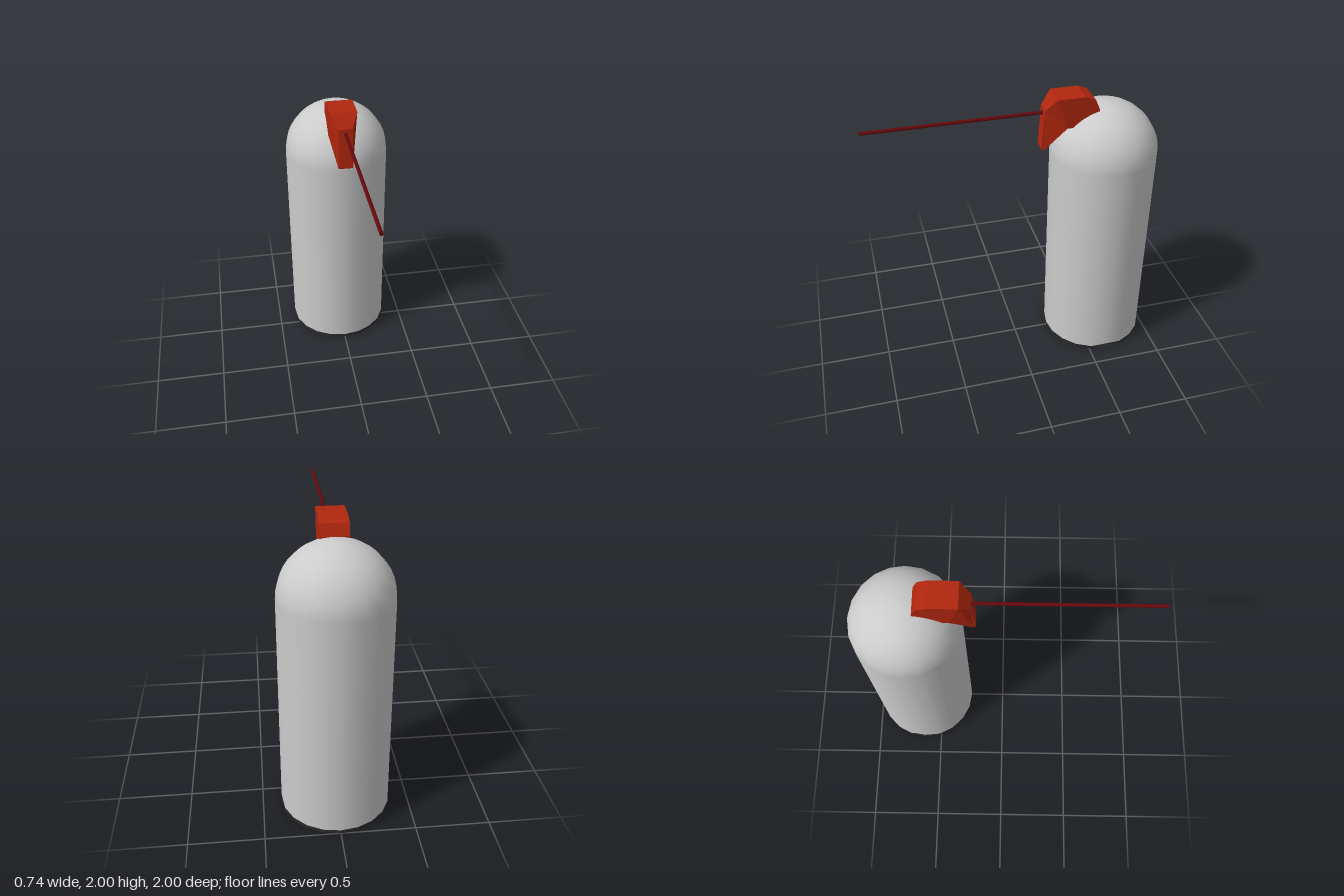
import * as THREE from 'three';

const R = 0.372, BODY_Z = -0.628, SEG = 20, RIM_Y = 0.025;

const mat = (color, flat = false) =>
  new THREE.MeshStandardMaterial({ color, flatShading: flat, side: THREE.DoubleSide });

function add(group, name, geometry, material) {
  const mesh = new THREE.Mesh(geometry, material);
  mesh.name = name;
  group.add(mesh);
  return mesh;
}

// Lathe whose ring at the rim is flattened to a chord on the left and right sides
function notchedLathe(points) {
  const geo = new THREE.LatheGeometry(points.map(([r, y]) => new THREE.Vector2(r, y)), SEG);
  const p = geo.attributes.position;
  const limit = R * Math.cos((2 * Math.PI) / SEG);
  for (let i = 0; i < p.count; i++) {
    if (Math.abs(p.getY(i) - RIM_Y) < 0.001) {
      p.setX(i, THREE.MathUtils.clamp(p.getX(i), -limit, limit));
    }
  }
  return geo;
}

// Loft of upright rectangles: [halfWidth, topZ, topY, bottomZ, bottomY], front to back
function loftBlock(sections) {
  const pos = [], idx = [];
  for (const [w, tz, ty, bz, by] of sections) {
    pos.push(-w, by, bz, w, by, bz, w, ty, tz, -w, ty, tz);
  }
  for (let s = 0; s < sections.length - 1; s++) {
    for (let k = 0; k < 4; k++) {
      const a = s * 4 + k, b = s * 4 + ((k + 1) % 4);
      idx.push(a, a + 4, b, b, a + 4, b + 4);
    }
  }
  const e = (sections.length - 1) * 4;
  idx.push(0, 1, 2, 0, 2, 3, e, e + 2, e + 1, e, e + 3, e + 2);
  const geo = new THREE.BufferGeometry();
  geo.setAttribute('position', new THREE.Float32BufferAttribute(pos, 3));
  geo.setIndex(idx);
  const flat = geo.toNonIndexed();
  flat.computeVertexNormals();
  return flat;
}

export function createModel() {
  const model = new THREE.Group();

  // Cylindrical body running into a domed top
  const profile = [[R, RIM_Y], [R, 0.05], [R, 1.55]];
  for (let i = 1; i <= 10; i++) {
    const a = (i / 10) * Math.PI / 2;
    profile.push([i === 10 ? 0 : R * Math.cos(a), 1.55 + 0.36 * Math.sin(a)]);
  }
  add(model, 'body', notchedLathe(profile), mat(0xcccccc)).position.z = BODY_Z;

  // Dark base plate
  add(model, 'base', notchedLathe([[0, 0], [R, 0], [R, RIM_Y]]), mat(0x2a2a2a, true))
    .position.z = BODY_Z;

  // Red head block, tapered to the front and sunk into the dome
  add(model, 'headBlock', loftBlock([
    [0.05, -0.188, 1.915, -0.17, 1.632],
    [0.05, -0.19, 1.917, -0.182, 1.622],
    [0.092, -0.26, 2.0, -0.33, 1.79],
    [0.092, -0.45, 2.0, -0.45, 1.79],
    [0.092, -0.515, 1.975, -0.5, 1.79],
    [0.092, -0.548, 1.9, -0.53, 1.79],
  ]), mat(0xb0260e, true));

  // Long thin rod pointing forward
  const rod = add(model, 'rod', new THREE.CylinderGeometry(0.012, 0.012, 1.22, 8), mat(0x66080e));
  rod.rotation.x = Math.PI / 2;
  rod.position.set(0, 1.882, 0.39);

  return model;
}
